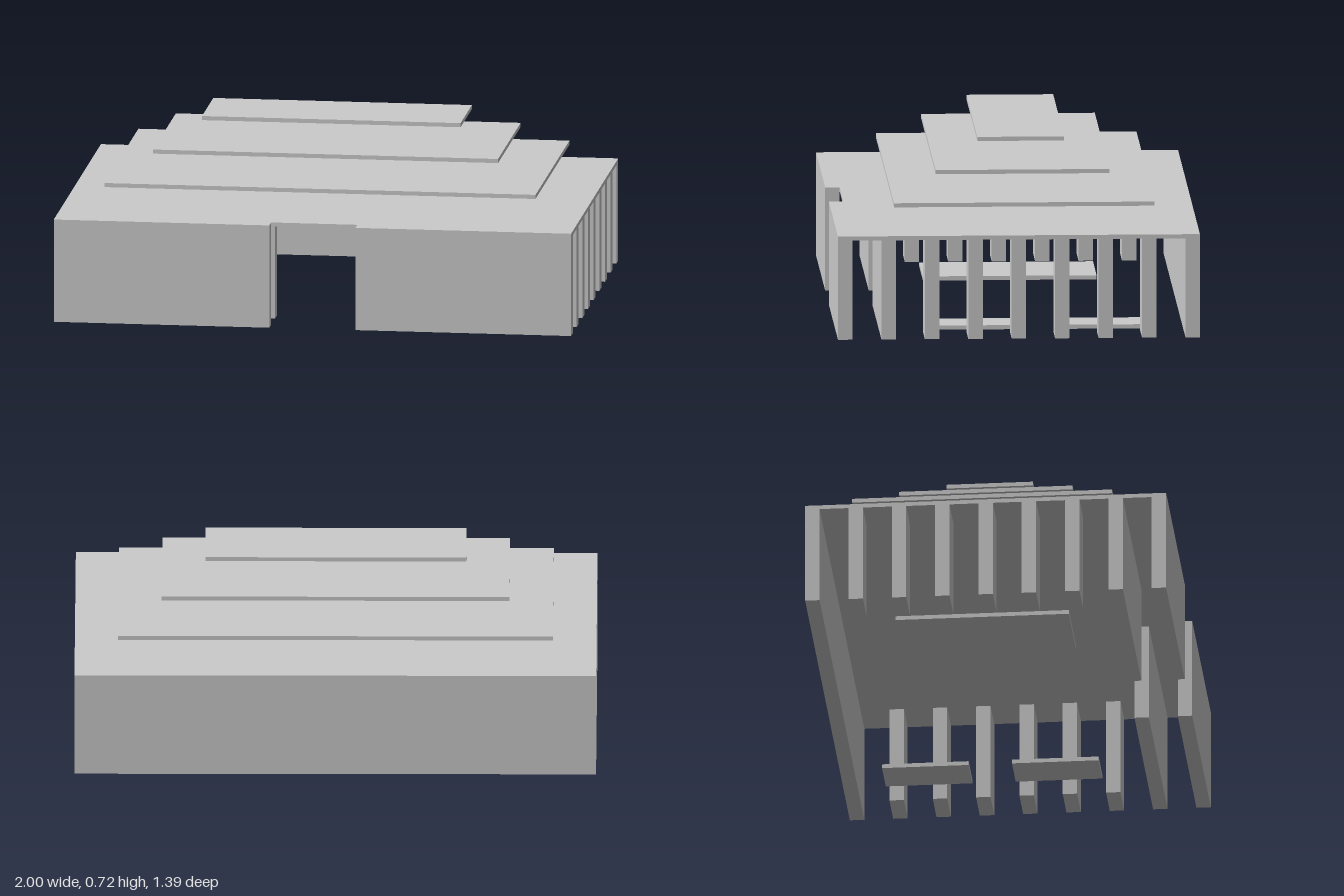
import * as THREE from 'three';

const U = 1 / 18; // plan grid module
const THICK = 0.016; // slab thickness
const WALL_BASE = 0.018;
const ROOF_BASE = 0.403;
const HALF_X = 18 * U;
const HALF_Z = 12.5 * U;
const DOOR = 3 * U; // half width of the front opening

const material = new THREE.MeshStandardMaterial({ color: 0xcccccc, flatShading: true });

export function createModel() {
  const group = new THREE.Group();

  // Box given by its limits on each axis
  const addBox = (name, x0, x1, y0, y1, z0, z1) => {
    const mesh = new THREE.Mesh(new THREE.BoxGeometry(x1 - x0, y1 - y0, z1 - z0), material);
    mesh.name = name;
    mesh.position.set((x0 + x1) / 2, (y0 + y1) / 2, (z0 + z1) / 2);
    group.add(mesh);
  };

  // Main roof slab, notched above the entrance
  const outline = new THREE.Shape([
    [-HALF_X, -HALF_Z], [-DOOR, -HALF_Z], [-DOOR, -HALF_Z + U], [DOOR, -HALF_Z + U],
    [DOOR, -HALF_Z], [HALF_X, -HALF_Z], [HALF_X, HALF_Z], [-HALF_X, HALF_Z],
  ].map(([x, y]) => new THREE.Vector2(x, y)));
  const roofGeometry = new THREE.ExtrudeGeometry(outline, { depth: THICK, bevelEnabled: false });
  roofGeometry.rotateX(-Math.PI / 2);
  const roof = new THREE.Mesh(roofGeometry, material);
  roof.name = 'mainRoof';
  roof.position.y = ROOF_BASE;
  group.add(roof);

  // Stepped upper roof slabs, each smaller and set slightly to the back
  for (let i = 1; i <= 3; i++) {
    const y = ROOF_BASE + i * 0.1005;
    const x = HALF_X - 3 * U * i;
    const z = 12 * U - 3 * U * i;
    addBox('upperRoof' + i, -x, x, y, y + THICK, -z - U / 2, z - U / 2);
  }

  // Back wall
  addBox('backWall', -HALF_X, HALF_X, WALL_BASE, ROOF_BASE, -HALF_Z, -HALF_Z + U);

  // Rows of side fins; the two front rows run in to the entrance
  for (let row = 0; row < 8; row++) {
    const z = HALF_Z - row * 3 * U;
    const inner = row < 2 ? DOOR : HALF_X - 3 * U;
    const name = row < 2 ? 'frontWall' : 'sideFin';
    addBox(name + 'Left' + row, inner, HALF_X, WALL_BASE, ROOF_BASE, z - U, z);
    addBox(name + 'Right' + row, -HALF_X, -inner, WALL_BASE, ROOF_BASE, z - U, z);
  }

  // Thin floor platforms
  addBox('largePlatform', -15 * U, -9 * U, 0, THICK, -6.5 * U, 5.5 * U);
  addBox('frontPlatform', 9 * U, 12 * U, 0, THICK, -0.5 * U, 5.5 * U);
  addBox('backPlatform', 9 * U, 12 * U, 0, THICK, -9.5 * U, -3.5 * U);

  return group;
}
